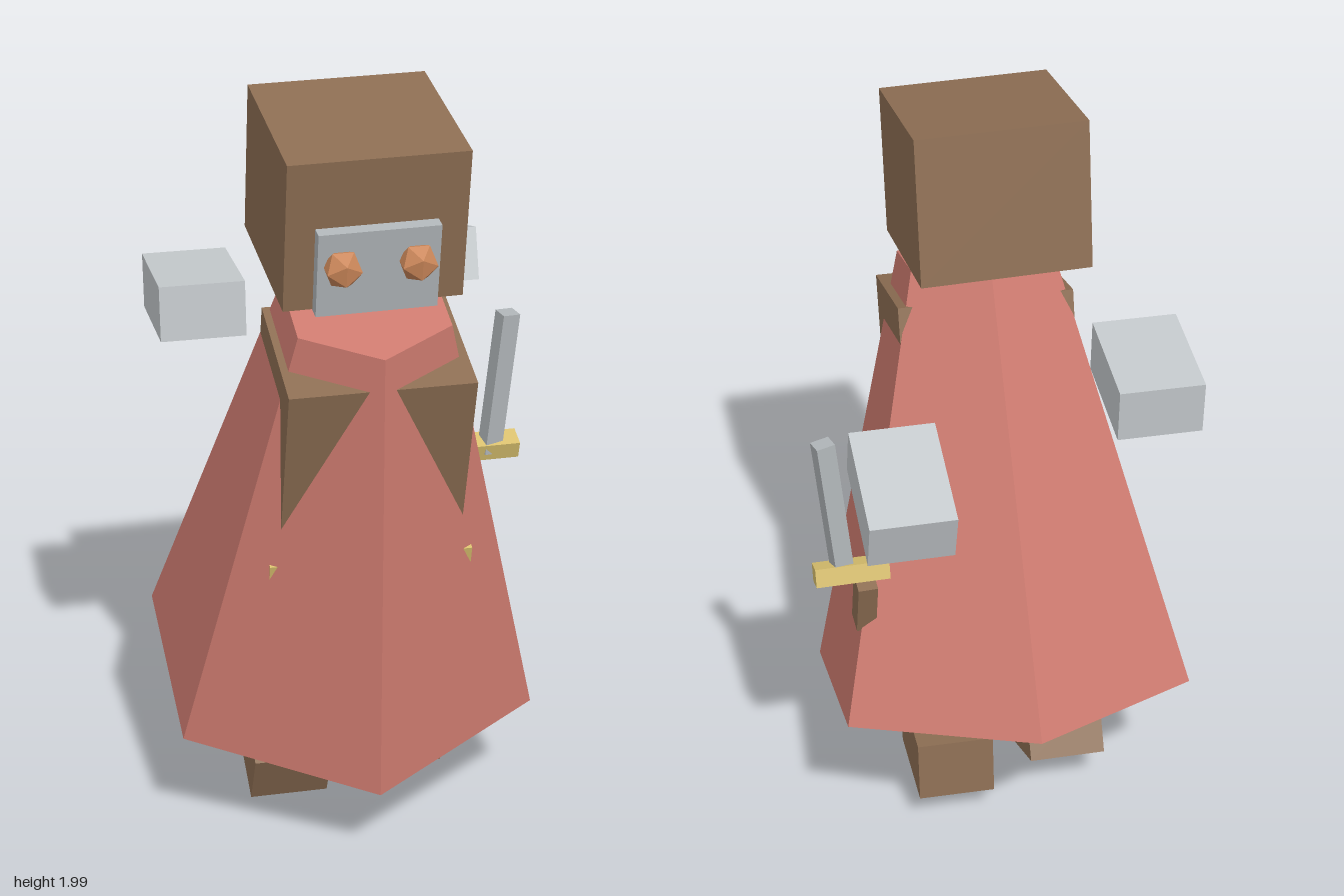
import * as THREE from 'three';

const mat = (name, color) => {
  const m = new THREE.MeshStandardMaterial({ color });
  m.name = name;
  return m;
};

export function createModel() {
  const model = new THREE.Group();
  model.name = 'robedFigure';

  const brown = mat('brown', 0x8d6e53);
  const robeRed = mat('robeRed', 0xcd7a6f);
  const paleGrey = mat('paleGrey', 0xc4c9cc);
  const steel = mat('steel', 0xb0b5b8);
  const gold = mat('gold', 0xd9c06e);
  const copper = mat('copper', 0xc98558);
  for (const m of [robeRed, copper]) m.flatShading = true;

  const add = (parent, name, geometry, material, pos, rot = [0, 0, 0]) => {
    const mesh = new THREE.Mesh(geometry, material);
    mesh.name = name;
    mesh.position.set(...pos);
    mesh.rotation.set(...rot, 'YXZ');
    parent.add(mesh);
    return mesh;
  };
  const box = (parent, name, size, material, pos, rot) =>
    add(parent, name, new THREE.BoxGeometry(...size), material, pos, rot);
  const group = (name, pos, rot) => {
    const g = new THREE.Group();
    g.name = name;
    g.position.set(...pos);
    g.rotation.set(...rot, 'YXZ');
    model.add(g);
    return g;
  };

  // Six-sided robe, leaning forward
  const lean = [0.28, 0.047, 0];
  add(model, 'robe', new THREE.CylinderGeometry(0.22, 0.54, 1.18, 6),
    robeRed, [-0.012, 0.9385, 0.2075], lean);

  // Torso and belt, whose corners come through the robe
  const torso = group('torso', [-0.006, 1.045, 0.287], lean);
  box(torso, 'chest', [0.465, 0.75, 0.357], brown, [0, 0, 0]);
  box(torso, 'belt', [0.52, 0.1, 0.404], gold, [0, -0.2, 0]);

  // Head with face plate and faceted eyes
  const head = group('head', [-0.019, 1.773, 0.293], [0.153, 0.08, 0]);
  box(head, 'skull', [0.445, 0.39, 0.425], brown, [0, 0, 0]);
  box(head, 'facePlate', [0.3, 0.22, 0.035], steel, [0, -0.088, 0.228]);
  for (const s of [-1, 1]) {
    add(head, s < 0 ? 'rightEye' : 'leftEye', new THREE.IcosahedronGeometry(0.05, 0),
      copper, [s * 0.092, -0.065, 0.258]);
  }

  // Floating hands
  box(model, 'rightHand', [0.22, 0.145, 0.305], paleGrey, [-0.375, 1.373, -0.087], [-0.08, 0.04, 0]);
  box(model, 'leftHand', [0.215, 0.142, 0.3], paleGrey, [0.3, 1.315, -0.42], [-0.31, 0.05, 0]);

  // Legs and feet
  const legs = [
    ['leftLeg', [0.137, 0.157, 0.013], [0.11, 0.03, 0]],
    ['rightLeg', [-0.18, 0.148, 0.076], [0.47, 0.04, 0]],
  ];
  for (const [name, pos, rot] of legs) {
    const leg = group(name, pos, rot);
    box(leg, 'foot', [0.208, 0.17, 0.3], brown, [0, 0, 0]);
    box(leg, 'shin', [0.175, 0.4, 0.185], brown, [0, 0.25, 0.01]);
  }

  // Sword: blade, guard and grip
  const sword = group('sword', [0, 0, 0], [0, 0, 0]);
  box(sword, 'blade', [0.05, 0.41, 0.045], steel, [0.44, 1.058, -0.103], [0.06, 0.3, -0.08]);
  box(sword, 'guard', [0.195, 0.05, 0.06], gold, [0.4, 0.868, -0.113], [0.3, 0.06, 0]);
  box(sword, 'grip', [0.052, 0.165, 0.06], brown, [0.367, 0.765, -0.115], [-0.25, 0.1, 0]);

  return model;
}
